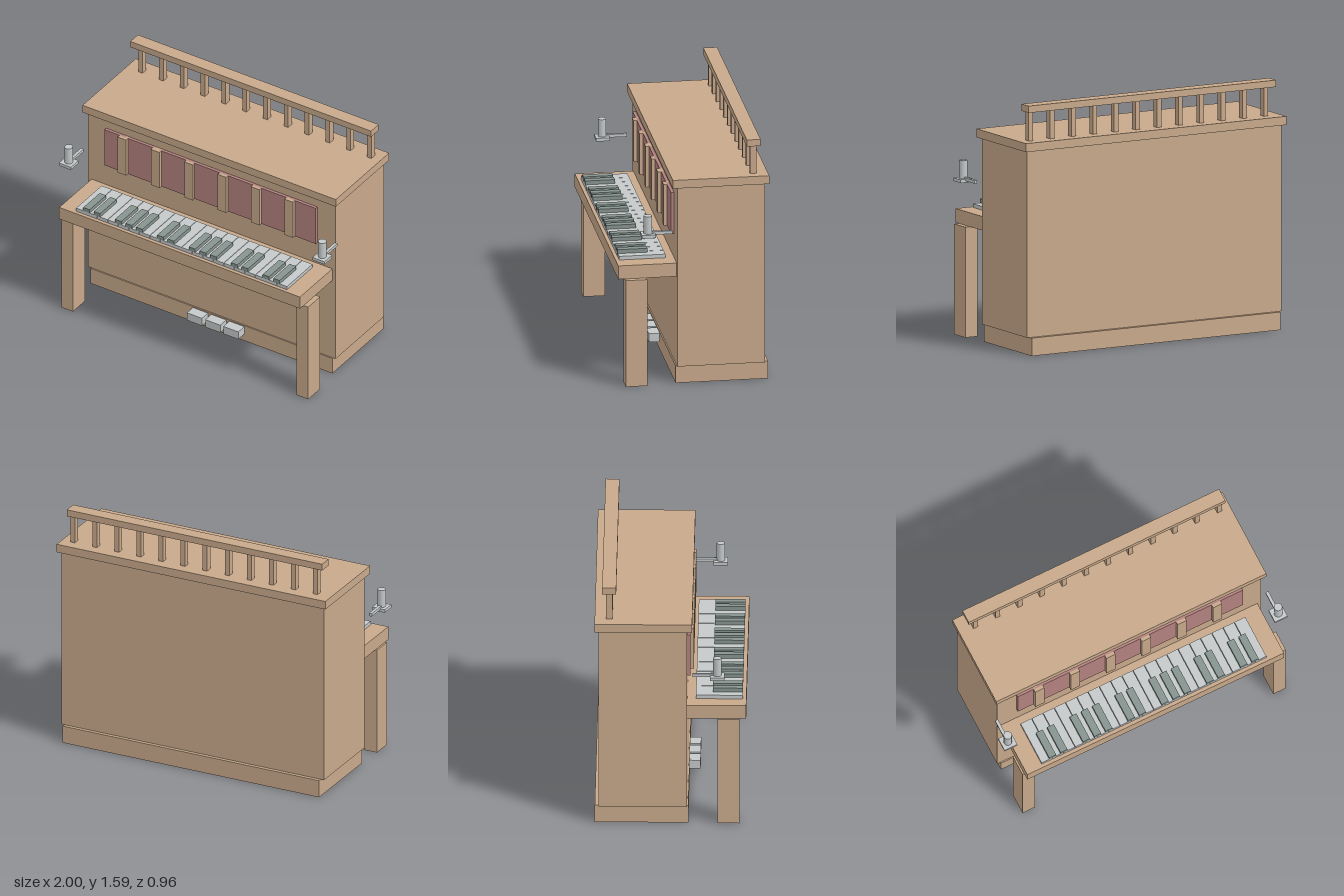
import * as THREE from 'three';

const material = (name, color) => {
  const m = new THREE.MeshStandardMaterial({ color });
  m.name = name;
  return m;
};

export function createModel() {
  const wood = material('wood', 0xc8a98b);
  const rose = material('rose panel', 0xb48380);
  const pale = material('pale grey', 0xc5c9ca);
  const dark = material('dark key', 0x86948f);
  const model = new THREE.Group();
  model.name = 'uprightPiano';

  const group = (name) => {
    const g = new THREE.Group();
    g.name = name;
    model.add(g);
    return g;
  };

  // Box given by its limits along each axis
  const box = (name, mat, [x0, x1], [y0, y1], [z0, z1], parent = model) => {
    const mesh = new THREE.Mesh(new THREE.BoxGeometry(x1 - x0, y1 - y0, z1 - z0), mat);
    mesh.position.set((x0 + x1) / 2, (y0 + y1) / 2, (z0 + z1) / 2);
    mesh.name = name;
    parent.add(mesh);
    return mesh;
  };
  const span = (centre, width) => [centre - width / 2, centre + width / 2];

  // Cabinet
  box('base', wood, [-0.91, 0.91], [0, 0.115], [-0.477, 0.113]);
  box('cabinet', wood, [-0.933, 0.93], [0.115, 1.31], [-0.453, 0.105]);
  box('lid', wood, [-0.955, 0.952], [1.31, 1.365], [-0.478, 0.137]);

  // Gallery rail on the lid
  const gallery = group('gallery');
  for (let i = 0; i < 12; i++) {
    box('baluster', wood, span(-0.847 + i * 0.1566, 0.032), [1.365, 1.55], [-0.407, -0.365], gallery);
  }
  box('rail', wood, [-0.908, 0.905], [1.55, 1.594], [-0.43, -0.342], gallery);

  // Front panel and its slats
  box('frontPanel', rose, [-0.797, 0.793], [0.957, 1.23], [0.1, 0.125]);
  const slats = group('slats');
  for (let i = 0; i < 6; i++) {
    box('slat', wood, span(-0.653 + i * 0.2513, 0.064), [0.957, 1.23], [0.1, 0.147], slats);
  }

  // Key shelf and legs
  box('keyShelf', wood, [-0.908, 0.905], [0.708, 0.797], [0.105, 0.478]);
  box('rightLeg', wood, [-0.92, -0.833], [0, 0.708], [0.298, 0.435]);
  box('leftLeg', wood, [0.851, 0.939], [0, 0.708], [0.298, 0.435]);

  // Keyboard: twenty white keys, black keys in groups of two and three
  const keyboard = group('keyboard');
  const pitch = 1.59 / 20;
  for (let i = 0; i < 20; i++) {
    box('whiteKey', pale, span(-0.797 + (i + 0.5) * pitch, pitch - 0.003), [0.797, 0.821], [0.16, 0.455], keyboard);
  }
  for (const k of [1, 2, 4, 5, 6, 8, 9, 11, 12, 13, 15, 16, 18, 19]) {
    box('blackKey', dark, span(-0.797 + k * pitch, 0.048), [0.82, 0.847], [0.266, 0.456], keyboard);
  }

  // Pedals
  const pedals = group('pedals');
  for (const x of [-0.083, 0.055, 0.191]) {
    box('pedal', pale, span(x, 0.113), [0.05, 0.107], [0.105, 0.182], pedals);
  }

  // Candle holders
  for (const side of [-1, 1]) {
    const holder = group(side > 0 ? 'leftCandleHolder' : 'rightCandleHolder');
    const x = side * 0.955;
    box('arm', pale, span(x, 0.02), [1.014, 1.034], [0.14, 0.29], holder);
    box('tray', pale, span(x, 0.09), [1.003, 1.024], [0.252, 0.341], holder);
    const candle = new THREE.Mesh(new THREE.CylinderGeometry(0.027, 0.027, 0.116, 12), pale);
    candle.position.set(x, 1.082, 0.297);
    candle.name = 'candle';
    holder.add(candle);
  }
  return model;
}
